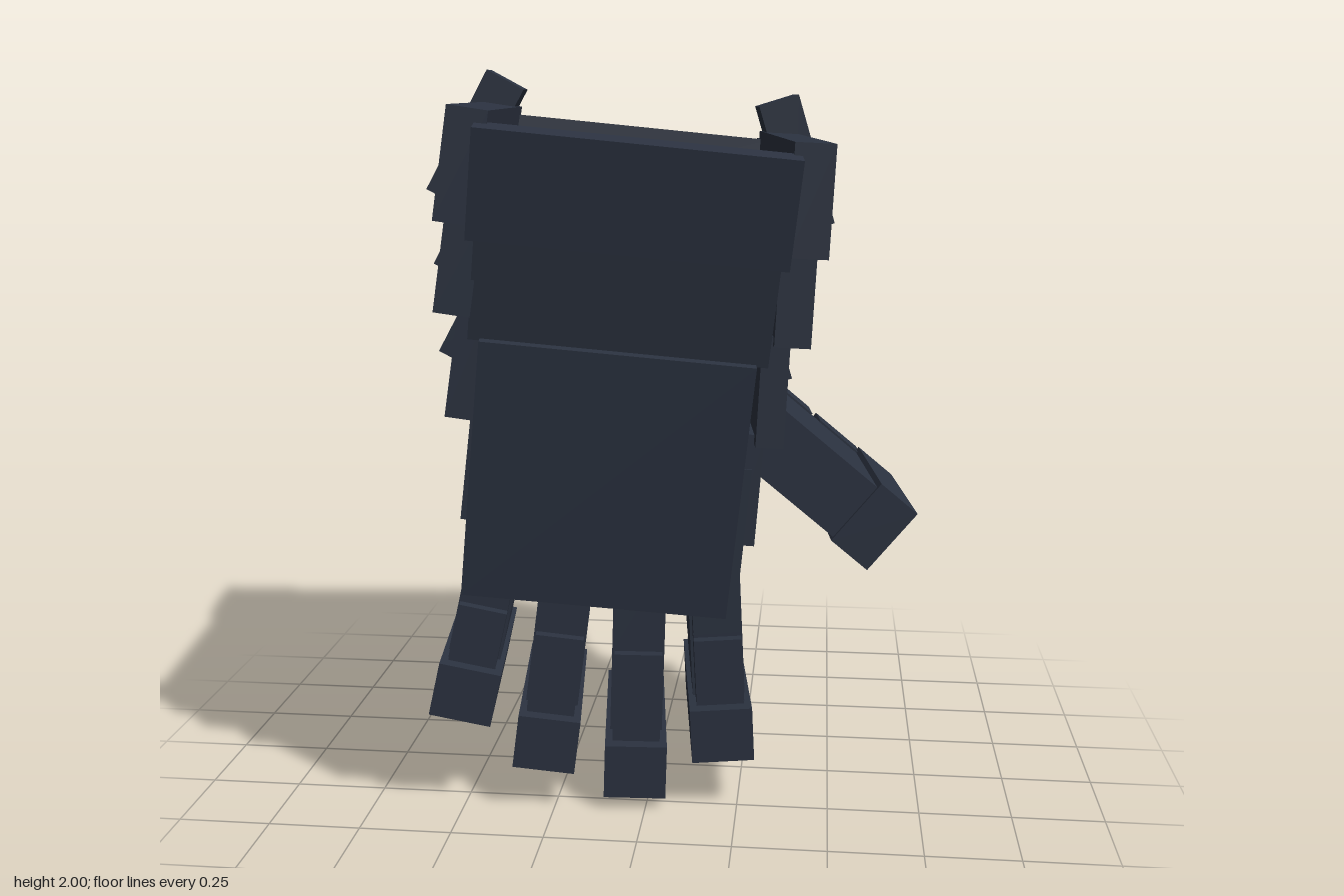
import * as THREE from 'three';

export function createModel() {
  const model = new THREE.Group();
  model.name = 'gauntlet';
  const mat = (name, color) => Object.assign(new THREE.MeshStandardMaterial({ color }), { name });
  const steel = mat('dark steel', 0x2b3240);
  const violet = mat('violet glow', 0x6028b0);
  const pale = mat('pale core', 0xb8a2c4);

  // the whole glove leans and turns slightly
  const pose = new THREE.Group();
  pose.name = 'pose';
  pose.rotation.set(0, 0.117, -0.1, 'YXZ');
  pose.position.y = 1;
  model.add(pose);
  const hand = new THREE.Group();
  hand.name = 'hand';
  hand.position.x = -0.13;
  pose.add(hand);

  const add = (parent, name, geo, pos, material = steel, rx = 0, rz = 0) => {
    const m = new THREE.Mesh(geo, material);
    m.name = name;
    m.position.set(...pos);
    m.rotation.set(rx, 0, rz);
    parent.add(m);
    return m;
  };
  const box = (parent, name, size, pos, material, rx, rz) =>
    add(parent, name, new THREE.BoxGeometry(...size), pos, material, rx, rz);

  // palm core, whose top is the floor of the opening
  box(hand, 'palmCore', [0.69, 0.38, 0.93], [0.02, -0.17, 0]);

  // overlapping side bands: outer x on each side, thickness, top, bottom, front z, back z, tilt
  const bands = [
    [0.475, 0.465, 0.1, 0.845, 0.57, 0.55, -0.55, 0.05],
    [0.46, 0.45, 0.09, 0.59, 0.35, 0.54, -0.53, 0.05],
    [0.425, 0.405, 0.07, 0.37, 0.09, 0.51, -0.51, 0.05],
    [0.39, 0.355, 0.06, 0.11, -0.18, 0.46, -0.5, 0.02],
  ];
  for (const s of [-1, 1]) {
    for (const [xl, xr, thick, top, bottom, f, b, tilt] of bands) {
      box(hand, 'sideBand', [thick, top - bottom, f - b],
        [s * ((s > 0 ? xl : xr) - thick / 2), (top + bottom) / 2, (f + b) / 2], steel, 0, s * tilt);
    }
    // flared tabs on the back corners, the left ones a little higher
    const tabs = [[0.475, 0.737, -0.448, 0.39], [0.445, 0.5, -0.425, 0.34], [0.41, 0.24, -0.4, 0.33]];
    for (const [x, y, z, len] of tabs) {
      box(hand, 'cornerTab', [0.12, len, 0.175], [s * x, y + (s > 0 ? 0.02 : 0), z], steel, 0, s * 0.395);
    }
    box(hand, 'cornerPost', [0.05, 0.08, 0.05], [s * 0.39, 0.78, -0.565]);
    // rails beside the emblem
    box(hand, 'backRail', [0.07, 0.42, 0.06], [s * 0.3, 0.05, -0.56]);
    box(hand, 'backRailCap', [0.1, 0.1, 0.07], [s * 0.3, -0.15, -0.56]);
  }

  // front plates
  box(hand, 'frontUpperPlate', [0.78, 0.27, 0.08], [0, 0.675, 0.548], steel, 0.16);
  box(hand, 'frontMiddlePlate', [0.74, 0.27, 0.07], [0, 0.43, 0.503], steel, 0.16);
  box(hand, 'frontLowerPlate', [0.68, 0.67, 0.1], [0, -0.035, 0.465], steel, 0.1);

  // back plates
  box(hand, 'backUpperPlate', [0.8, 0.27, 0.09], [0, 0.68, -0.532], steel, -0.1);
  box(hand, 'backMiddlePlate', [0.75, 0.27, 0.08], [0, 0.44, -0.503], steel, -0.1);
  box(hand, 'backRib', [0.12, 0.24, 0.02], [0, 0.69, -0.577], steel, -0.1);
  box(hand, 'backLowerPlate', [0.7, 0.61, 0.1], [0, 0.025, -0.49]);

  // eight-sided emblem with a raised rim and glowing diamonds
  const octagon = (Type, r) => {
    const p = new Type();
    for (let i = 0; i < 8; i++) {
      const a = (i + 0.5) * Math.PI / 4;
      p[i ? 'lineTo' : 'moveTo'](r * Math.cos(a), r * Math.sin(a));
    }
    p.closePath();
    return p;
  };
  const emblem = new THREE.Group();
  emblem.name = 'emblem';
  emblem.position.set(0.005, 0.065, -0.535);
  emblem.rotation.y = Math.PI;
  hand.add(emblem);
  const extrude = (shape, depth) => new THREE.ExtrudeGeometry(shape, { depth, bevelEnabled: false });
  add(emblem, 'emblemBase', extrude(octagon(THREE.Shape, 0.285), 0.07), [0, 0, 0]);
  const rim = octagon(THREE.Shape, 0.268);
  rim.holes.push(octagon(THREE.Path, 0.21));
  add(emblem, 'emblemRim', extrude(rim, 0.045), [0, 0, 0.07]);
  const q = Math.PI / 4;
  box(emblem, 'diamondMount', [0.27, 0.27, 0.02], [0, 0, 0.08], steel, 0, q);
  box(emblem, 'violetDiamond', [0.24, 0.24, 0.02], [0, 0, 0.1], violet, 0, q);
  box(emblem, 'paleDiamond', [0.1, 0.1, 0.018], [0, 0, 0.119], pale, 0, q);

  // fingers: tip x, tip y, tilt; origin is at the fingertip
  const fingers = [
    [-0.333, -0.793, -0.12],
    [-0.094, -0.916, -0.03],
    [0.163, -0.973, 0.07],
    [0.395, -0.843, 0.15],
  ];
  for (const [x, y, tilt] of fingers) {
    const g = new THREE.Group();
    g.name = 'finger';
    g.position.set(x, y, 0.01);
    g.rotation.z = tilt;
    hand.add(g);
    const len = -0.3 - y;
    const seg = (len - 0.19) / 2;
    const lineLen = len - 0.12;
    box(g, 'fingerCore', [0.13, len, 0.5], [0, len / 2, 0]);
    box(g, 'fingerSide', [0.145, len, 0.4], [0, len / 2, -0.03]);
    box(g, 'fingerTip', [0.17, 0.15, 0.58], [0, 0.075, 0]);
    for (const i of [0, 1]) {
      const cy = 0.17 + seg / 2 + i * (seg + 0.02);
      box(g, 'fingerFrontPad', [0.13, seg, 0.08], [0, cy, 0.24]);
      for (const s of [-1, 1]) box(g, 'fingerBackPad', [0.055, seg * 0.8, 0.08], [s * 0.045, cy, -0.27]);
    }
    box(g, 'fingerSpine', [0.03, lineLen, 0.05], [0, 0.1 + lineLen / 2, -0.27]);
    box(g, 'fingerGlowLine', [0.022, lineLen, 0.015], [0, 0.1 + lineLen / 2, -0.302], violet);
    box(g, 'fingertipGlow', [0.14, 0.036, 0.19], [0, -0.012, 0], violet);
    // knuckle above each finger on the back of the hand
    box(hand, 'knuckle', [0.13, 0.12, 0.1], [x * 0.8 - 0.015, -0.25, -0.51]);
  }

  // thumb: origin at the middle of its end face, running along -x
  const thumb = new THREE.Group();
  thumb.name = 'thumb';
  thumb.position.set(0.789, -0.196, 0.016);
  thumb.rotation.z = -0.6;
  hand.add(thumb);
  box(thumb, 'thumbBase', [0.46, 0.18, 0.43], [-0.3, -0.003, 0]);
  box(thumb, 'thumbTip', [0.13, 0.205, 0.45], [-0.068, 0, 0]);
  box(thumb, 'thumbBackCore', [0.38, 0.12, 0.08], [-0.3, 0, -0.24]);
  for (const x of [-0.2, -0.39]) {
    for (const s of [-1, 1]) box(thumb, 'thumbBackPad', [0.16, 0.065, 0.11], [x, s * 0.06, -0.25]);
  }
  box(thumb, 'thumbGlowLine', [0.36, 0.022, 0.04], [-0.29, 0, -0.297], violet);
  box(thumb, 'thumbGlow', [0.024, 0.18, 0.2], [0.002, 0, 0.005], violet);

  return model;
}
